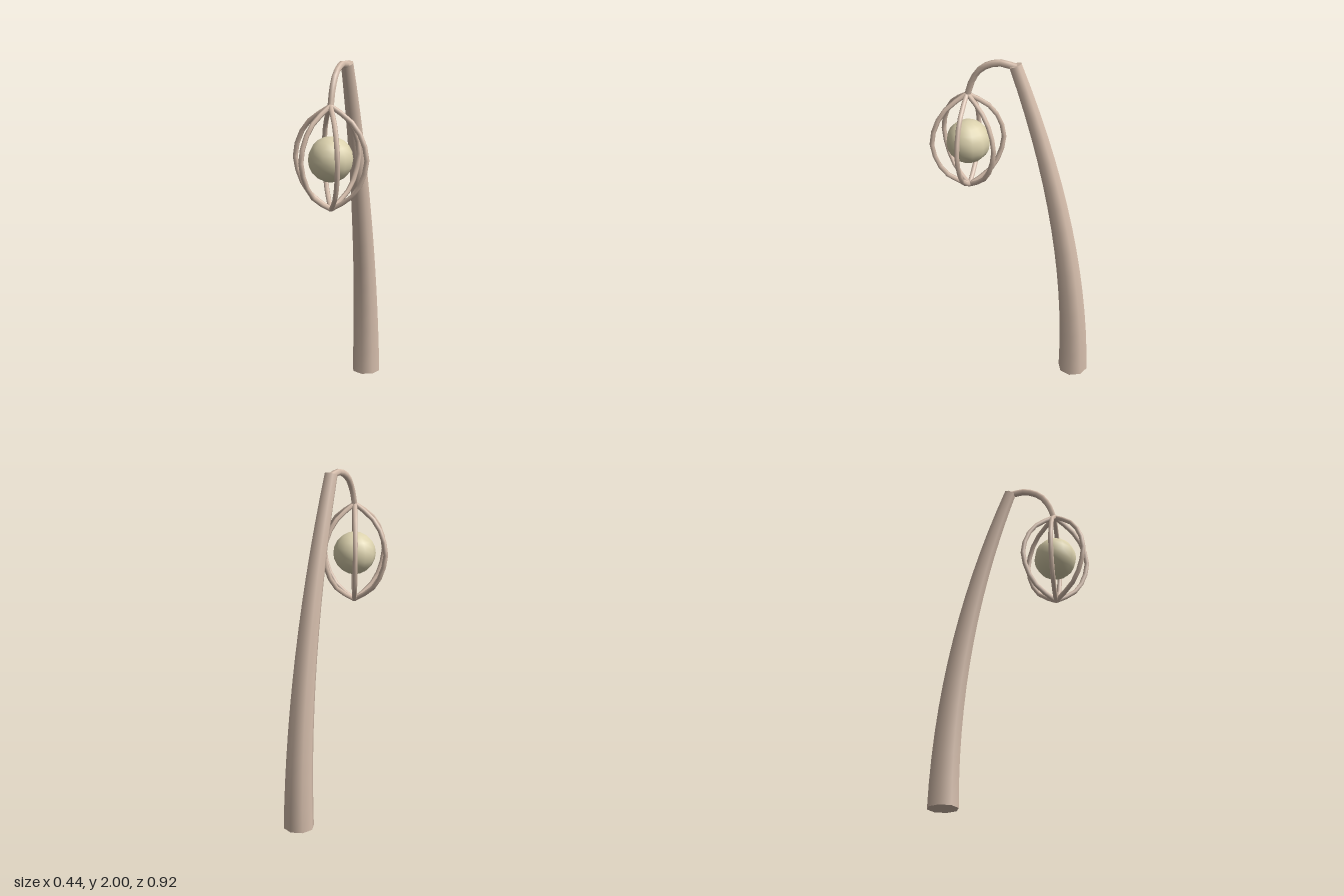
import * as THREE from 'three';

const V = (x, y, z) => new THREE.Vector3(x, y, z);

// Smooth tube with its radius running from r0 to r1, closed by flat end caps
function taperedTube(name, curve, steps, sides, r0, r1, material) {
  const group = new THREE.Group();
  group.name = name;
  const tube = new THREE.TubeGeometry(curve, steps, 1, sides, false);
  const pos = tube.attributes.position;
  const rings = [];
  for (let i = 0; i <= steps; i++) {
    const t = i / steps;
    const c = curve.getPointAt(t);
    const r = r0 + (r1 - r0) * t;
    const ring = [];
    for (let j = 0; j <= sides; j++) {
      const k = i * (sides + 1) + j;
      const p = V().fromBufferAttribute(pos, k).sub(c).multiplyScalar(r).add(c);
      pos.setXYZ(k, p.x, p.y, p.z);
      ring.push(p);
    }
    rings.push(ring);
  }
  const side = new THREE.Mesh(tube, material);
  side.name = name + 'Side';
  group.add(side);

  // End caps as fans, wound to face away from the tube
  [0, 1].forEach((end) => {
    const c = curve.getPointAt(end);
    const out = curve.getTangentAt(end).multiplyScalar(end ? 1 : -1);
    const ring = rings[end * steps];
    const pts = [];
    for (let j = 0; j < sides; j++) {
      const a = ring[j], b = ring[j + 1];
      const n = a.clone().sub(c).cross(b.clone().sub(c));
      pts.push(c, ...(n.dot(out) > 0 ? [a, b] : [b, a]));
    }
    const geo = new THREE.BufferGeometry().setFromPoints(pts);
    geo.computeVertexNormals();
    const cap = new THREE.Mesh(geo, material);
    cap.name = name + (end ? 'EndCap' : 'StartCap');
    group.add(cap);
  });
  return group;
}

export function createModel() {
  const wood = new THREE.MeshStandardMaterial({ color: 0xd8c0ae });
  wood.name = 'pale wood';
  const glow = new THREE.MeshStandardMaterial({ color: 0xdcd2ae });
  glow.name = 'cream globe';

  const model = new THREE.Group();
  model.name = 'lampPost';

  // Leaning post, bending forward towards the top
  const bend = new THREE.QuadraticBezierCurve3(V(0, 0, -0.373), V(0, 0.99, -0.373), V(0, 1.977, -0.003));
  model.add(taperedTube('post', bend, 14, 8, 0.089, 0.037, wood));

  // Hook arching from the post tip down to the lantern
  const arch = new THREE.CatmullRomCurve3([
    V(0, 1.965, -0.01), V(0, 1.981, 0.085), V(0, 1.943, 0.18), V(0, 1.87, 0.235), V(0, 1.765, 0.27),
  ]);
  model.add(taperedTube('hook', arch, 9, 6, 0.02, 0.018, wood));

  // Lantern: six bowed ribs around a globe
  const lantern = new THREE.Group();
  lantern.name = 'lantern';
  lantern.position.set(0, 1.49, 0.27);
  const bow = new THREE.CatmullRomCurve3([
    V(0, 0.29, 0), V(0.085, 0.235, 0), V(0.152, 0.17, 0), V(0.206, 0.01, 0),
    V(0.15, -0.165, 0), V(0.085, -0.228, 0), V(0, -0.28, 0),
  ]);
  for (let i = 0; i < 6; i++) {
    const rib = taperedTube('rib', bow, 10, 6, 0.014, 0.014, wood);
    rib.rotation.y = (i * Math.PI) / 3;
    lantern.add(rib);
  }
  const globe = new THREE.Mesh(new THREE.SphereGeometry(0.125, 12, 10), glow);
  globe.name = 'globe';
  lantern.add(globe);
  model.add(lantern);

  return model;
}
